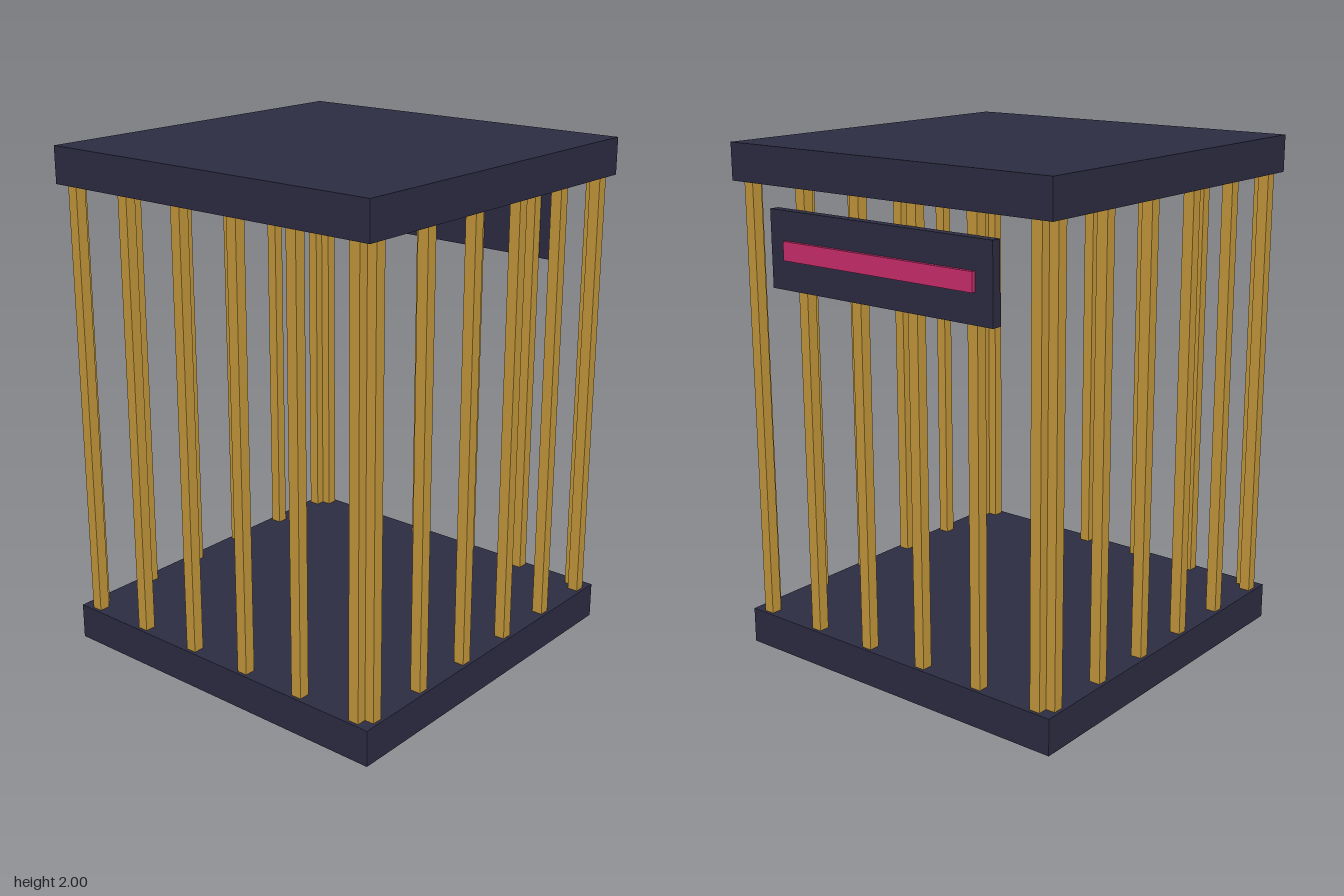
import * as THREE from 'three';

export function createModel() {
  const model = new THREE.Group();
  model.name = 'cage';

  const material = (name, color) => {
    const m = new THREE.MeshStandardMaterial({ color });
    m.name = name;
    return m;
  };
  const navy = material('dark navy', 0x2d2d44);
  const gold = material('gold', 0xc89b3c);
  const pink = material('pink', 0xd02f70);

  const box = (name, mat, size, pos, parent = model) => {
    const mesh = new THREE.Mesh(new THREE.BoxGeometry(...size), mat);
    mesh.name = name;
    mesh.position.set(...pos);
    parent.add(mesh);
    return mesh;
  };

  const cx = -0.02; // the cage sits slightly off centre because of the sign
  const slabHeight = 0.142;

  // Floor and roof slabs
  box('floor', navy, [1.48, slabHeight, 1.48], [cx, slabHeight / 2, 0]);
  box('roof', navy, [1.48, slabHeight, 1.48], [cx, 2 - slabHeight / 2, 0]);

  // Six square bars along each of the four sides
  const bars = new THREE.Group();
  bars.name = 'bars';
  model.add(bars);
  const barWidth = 0.043, row = 0.705, spacing = 0.267;
  const barHeight = 2 - 2 * slabHeight;
  for (let i = 0; i < 6; i++) {
    const t = (i - 2.5) * spacing;
    for (const side of [-1, 1]) {
      box('bar', gold, [barWidth, barHeight, barWidth], [cx + t, 1, side * row], bars);
      box('bar', gold, [barWidth, barHeight, barWidth], [cx + side * row, 1, t], bars);
    }
  }

  // Sign board with a raised glowing strip on the left side
  box('signBoard', navy, [0.038, 0.292, 1.035], [0.724, 1.633, 0]);
  box('signStrip', pink, [0.015, 0.071, 0.885], [0.75, 1.634, 0]);

  return model;
}
